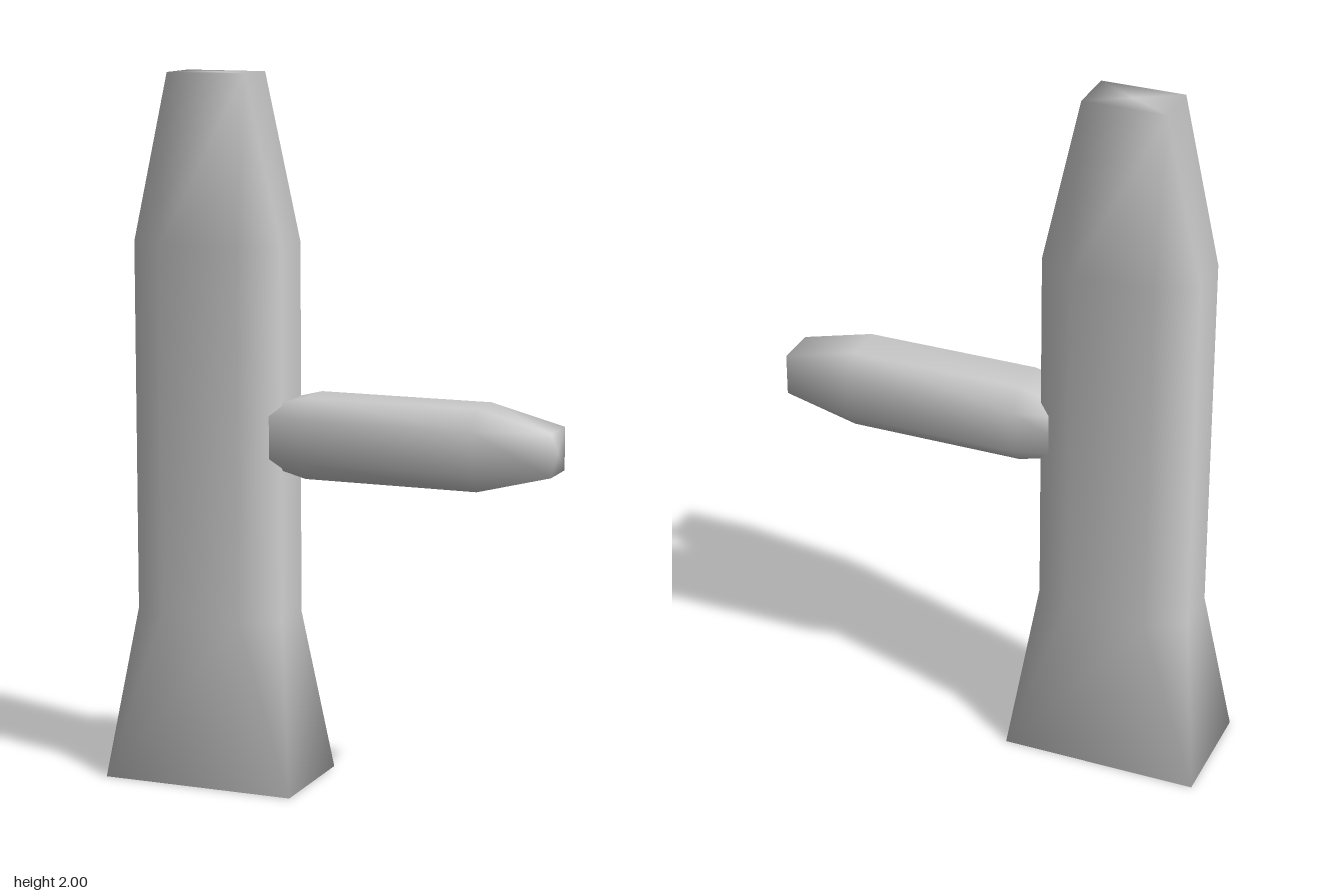
import * as THREE from 'three';
import { mergeVertices } from 'three/addons/utils/BufferGeometryUtils.js';

// Eight-point ring: half sizes hx, hz; flats reach fx, fz (equal to the half sizes = rectangle)
function ring([y, hx, hz, fx = hx, fz = hz]) {
  return [
    [hx, y, fz], [fx, y, hz], [-fx, y, hz], [-hx, y, fz],
    [-hx, y, -fz], [-fx, y, -hz], [fx, y, -hz], [hx, y, -fz],
  ];
}

// Closed, smooth-shaded loft through the rings, bottom to top
function loft(sections) {
  const points = sections.flatMap(ring);
  const index = [];
  const n = 8;
  const last = (sections.length - 1) * n;
  const bottom = points.push([0, sections[0][0], 0]) - 1;
  const top = points.push([0, sections.at(-1)[0], 0]) - 1;
  for (let i = 0; i < n; i++) {
    const j = (i + 1) % n;
    for (let s = 0; s < last; s += n) {
      index.push(s + i, s + n + i, s + j, s + j, s + n + i, s + n + j);
    }
    index.push(bottom, i, j, top, last + j, last + i);
  }
  const geometry = new THREE.BufferGeometry();
  geometry.setAttribute('position', new THREE.Float32BufferAttribute(points.flat(), 3));
  geometry.setIndex(index);
  const merged = mergeVertices(geometry, 1e-4);
  merged.computeVertexNormals();
  return merged;
}

export function createModel() {
  const group = new THREE.Group();
  const material = new THREE.MeshStandardMaterial({ color: 0xcccccc });

  // Upright trunk: flared rectangular foot, chamfered shaft, tapered rectangular tip
  const trunk = new THREE.Mesh(loft([
    [0, 0.283, 0.168],
    [0.48, 0.222, 0.135, 0.117, 0.07],
    [1.53, 0.222, 0.135, 0.117, 0.07],
    [2, 0.117, 0.07],
  ]), material);
  trunk.name = 'trunk';
  trunk.position.x = -0.36;

  // Side branch: chamfered bar with square tapered ends, its root sunk in the trunk
  const branch = new THREE.Mesh(loft([
    [-0.46, 0.06, 0.06],
    [-0.25, 0.114, 0.114, 0.06, 0.06],
    [0.25, 0.114, 0.114, 0.06, 0.06],
    [0.46, 0.06, 0.06],
  ]), material);
  branch.name = 'branch';
  branch.rotation.z = -Math.PI / 2;
  branch.position.set(0.18, 1.003, 0);

  group.add(trunk, branch);
  return group;
}
